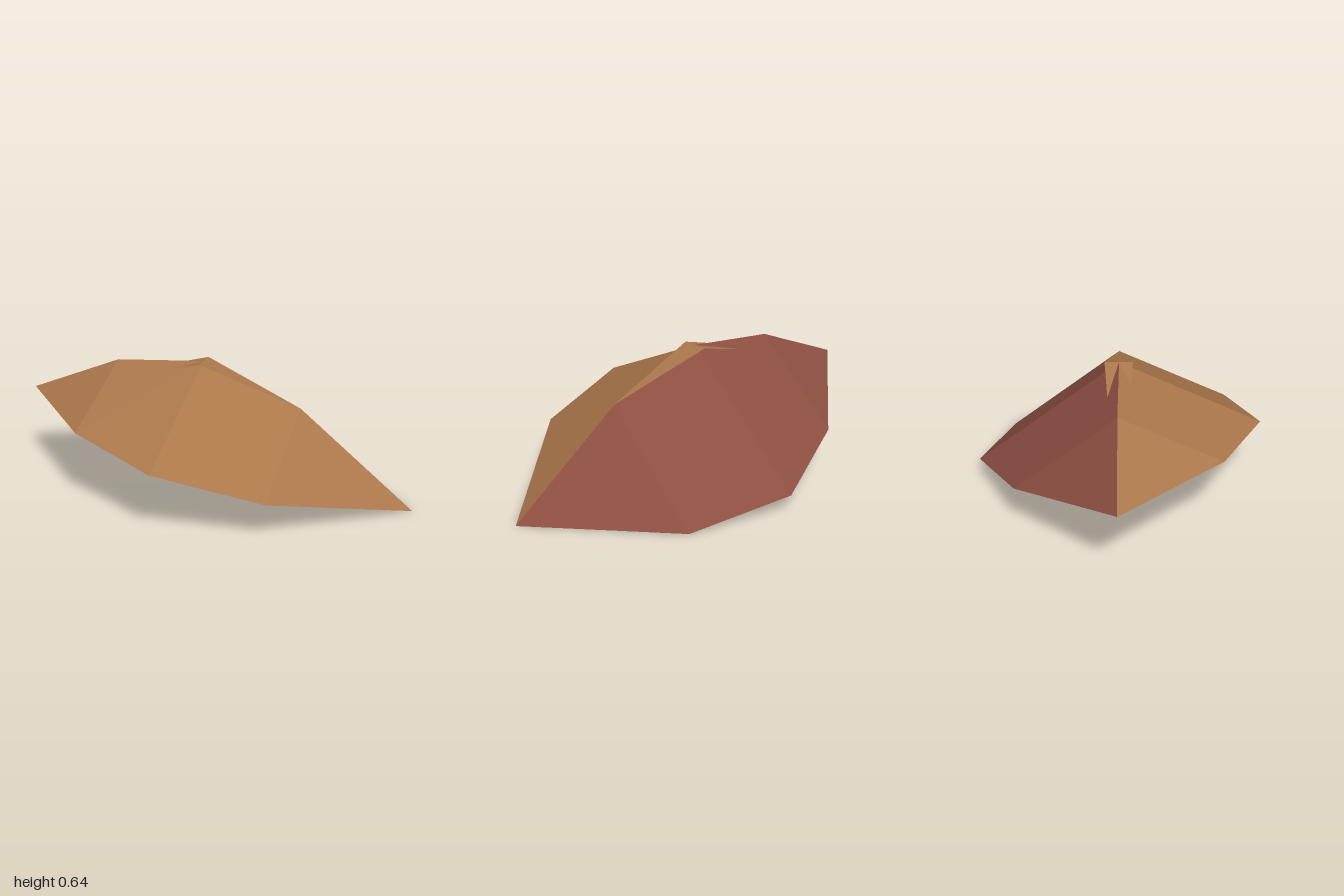
import * as THREE from 'three';

// Shared ridge and the two lower rims, listed from the -x tip to the +x tip
const tipA = [-1, 0.4, -0.145];
const tipB = [1, 0, 0.16];
const ridge = [tipA, [-0.52, 0.6, -0.075], [-0.06, 0.643, 0], [0.435, 0.455, 0.073], tipB];
const frontRim = [tipA, [-0.6, 0.375, 0.41], [-0.165, 0.315, 0.695], [0.355, 0.19, 0.637], tipB];
const backRim = [tipA, [-0.45, 0.22, -0.553], [0.045, 0.09, -0.7], [0.525, 0.005, -0.49], tipB];

// Faceted surface from a list of triangles
function facets(name, triangles, material) {
  const geometry = new THREE.BufferGeometry();
  geometry.setAttribute('position', new THREE.Float32BufferAttribute(triangles.flat(2), 3));
  geometry.computeVertexNormals();
  const mesh = new THREE.Mesh(geometry, material);
  mesh.name = name;
  return mesh;
}

// Strip between two edges, closing to a point at both tips
function strip(upper, lower) {
  const triangles = [];
  for (let i = 0; i < upper.length - 1; i++) {
    if (i > 0) triangles.push([upper[i], lower[i], upper[i + 1]]);
    if (i < upper.length - 2) triangles.push([upper[i + 1], lower[i], lower[i + 1]]);
  }
  return triangles;
}

export function createModel() {
  const tan = new THREE.MeshStandardMaterial({ color: 0xab774b, side: THREE.DoubleSide });
  tan.name = 'tan';
  const russet = new THREE.MeshStandardMaterial({ color: 0x8c4e41, side: THREE.DoubleSide });
  russet.name = 'russet';

  const group = new THREE.Group();
  group.name = 'foldedLeaf';

  // Two sloping halves meeting at the ridge
  group.add(facets('frontHalf', strip(ridge, frontRim), tan));
  group.add(facets('backHalf', strip(backRim, ridge), russet));

  // Flat midrib, widest at the peak, with its face turned down
  const ribFront = [-0.065, 0.643, 0.068];
  const ribBack = [-0.05, 0.643, -0.07];
  group.add(facets('midrib', [
    [tipA, ribBack, ribFront],
    [ribFront, ribBack, ridge[3]],
  ], tan));
  return group;
}
